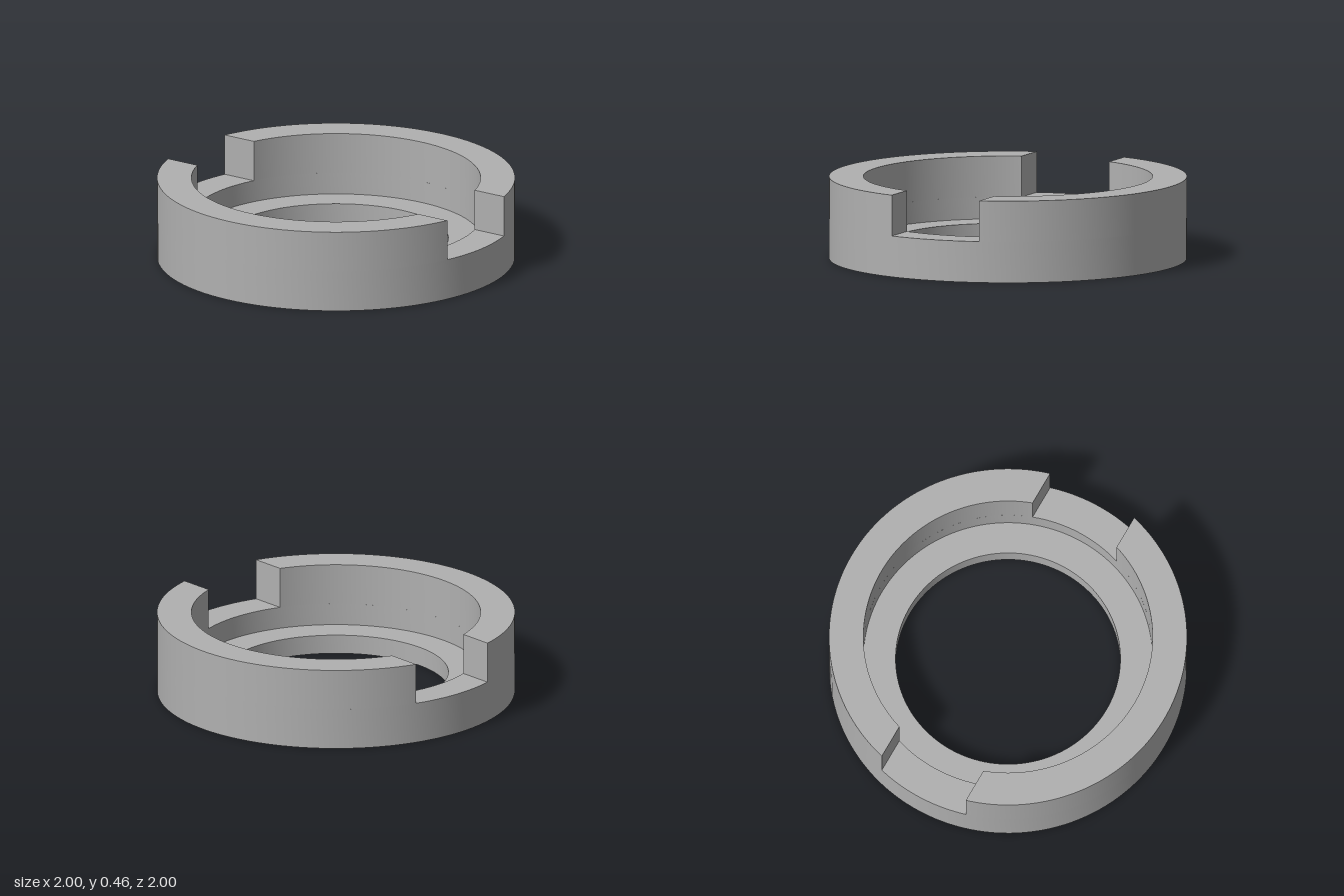
import * as THREE from 'three';
import { toCreasedNormals } from 'three/addons/utils/BufferGeometryUtils.js';

const OUTER = 1, INNER = 0.808, BORE = 0.628;
const HEIGHT = 0.4615, NOTCH_Y = 0.231, LEDGE_Y = 0.1075, NOTCH_HALF = 0.269;

export function createModel() {
  const model = new THREE.Group();
  model.name = 'notchedRing';
  const grey = new THREE.MeshStandardMaterial({ color: 0xb0b0b0 });
  grey.name = 'grey';

  const add = (name, geometry) => {
    const mesh = new THREE.Mesh(toCreasedNormals(geometry, 0.5), grey);
    mesh.name = name;
    model.add(mesh);
    return mesh;
  };

  // Base ring: bored floor with an inner ledge and a rim up to the notch level
  const profile = [
    [BORE, 0], [OUTER, 0], [OUTER, NOTCH_Y], [INNER, NOTCH_Y],
    [INNER, LEDGE_Y], [BORE, LEDGE_Y], [BORE, 0],
  ].map(([r, y]) => new THREE.Vector2(r, y));
  add('baseRing', new THREE.LatheGeometry(profile, 144));

  // Raised walls: arcs whose ends are cut parallel to x, leaving a notch on each side
  const a = Math.asin(NOTCH_HALF / OUTER);
  const b = Math.asin(NOTCH_HALF / INNER);
  const arc = new THREE.Shape();
  arc.absarc(0, 0, OUTER, a, Math.PI - a, false);
  arc.absarc(0, 0, INNER, Math.PI - b, b, true);
  arc.closePath();
  const wall = new THREE.ExtrudeGeometry(arc, {
    depth: HEIGHT - NOTCH_Y, bevelEnabled: false, curveSegments: 72,
  });
  wall.rotateX(-Math.PI / 2).translate(0, NOTCH_Y, 0);
  add('backWall', wall);
  add('frontWall', wall.clone().rotateY(Math.PI));

  return model;
}
